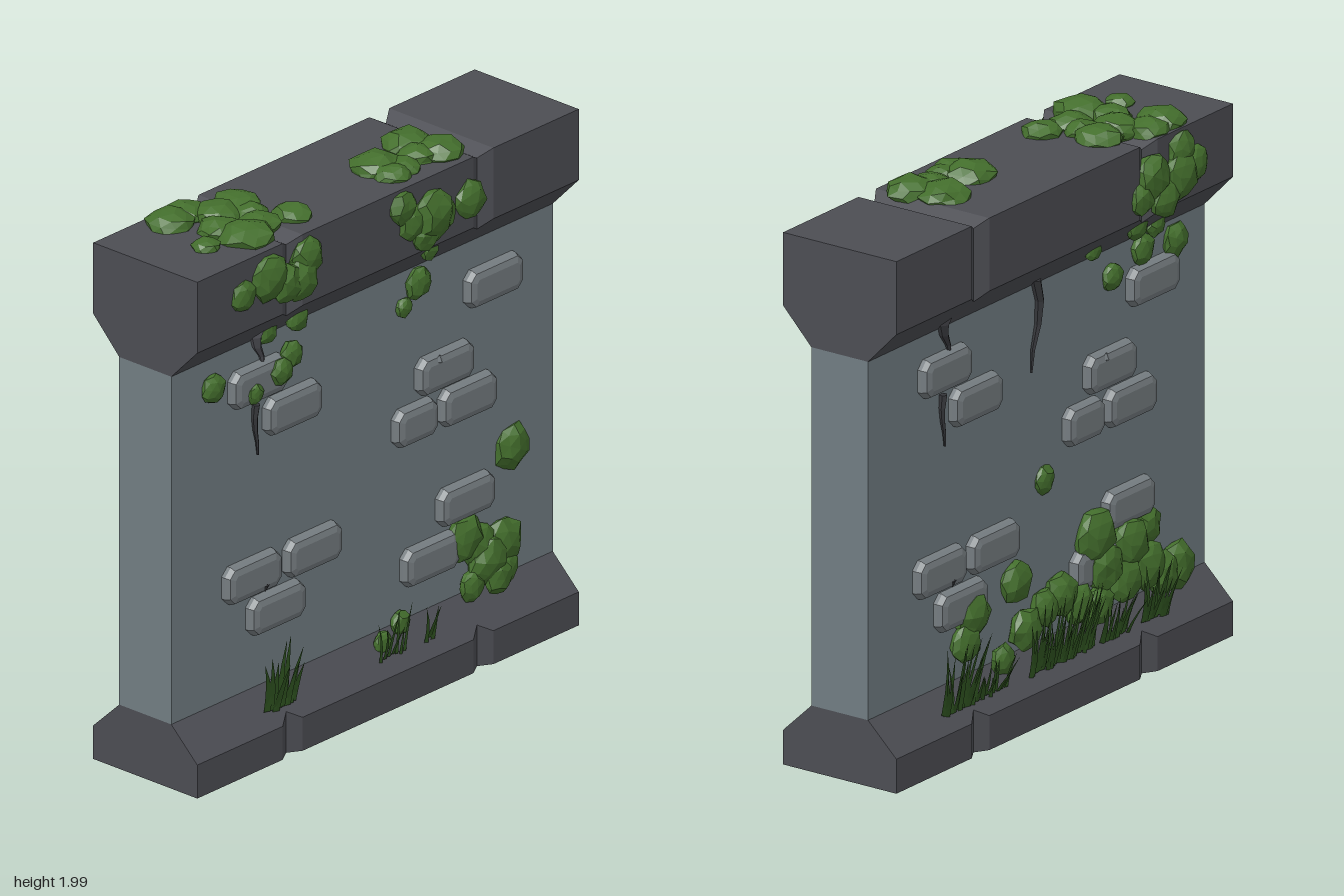
import * as THREE from 'three';
import { mergeGeometries } from 'three/addons/utils/BufferGeometryUtils.js';

const mat = (name, color, extra = {}) => {
  const m = new THREE.MeshStandardMaterial({ color, flatShading: true, ...extra });
  m.name = name;
  return m;
};

let seed = 7;
const rnd = () => (seed = (seed * 16807) % 2147483647) / 2147483647;

// Sweep a (z, y) profile along x; every groove station uses the inset profile
function sweep(profile, inset, skipEdge) {
  const xs = [-0.96, -0.53, -0.48, -0.43, 0.43, 0.48, 0.53, 0.96];
  const at = (s, i) => {
    const [z, y] = (s === 2 || s === 5 ? inset : profile)[i];
    return [xs[s], y, z];
  };
  const pos = [];
  const n = profile.length;
  for (let s = 0; s < xs.length - 1; s++) {
    for (let i = 0; i < n - 1; i++) {
      if (i === skipEdge) continue;
      const a = at(s, i), b = at(s + 1, i), c = at(s + 1, i + 1), d = at(s, i + 1);
      pos.push(...a, ...b, ...c, ...a, ...c, ...d);
    }
  }
  for (let i = 1; i < n - 1; i++) {
    pos.push(...at(0, 0), ...at(0, i), ...at(0, i + 1));
    pos.push(...at(7, 0), ...at(7, i + 1), ...at(7, i));
  }
  const g = new THREE.BufferGeometry();
  g.setAttribute('position', new THREE.Float32BufferAttribute(pos, 3));
  g.computeVertexNormals();
  return g;
}

// Chamfered brick that stands proud of the wall
function brick(x, y, w = 0.275, h = 0.14) {
  const b = 0.03, c = 0.012, hw = w / 2 - b, hh = h / 2 - b;
  const s = new THREE.Shape([
    [-hw, -hh + c], [-hw + c, -hh], [hw - c, -hh], [hw, -hh + c],
    [hw, hh - c], [hw - c, hh], [-hw + c, hh], [-hw, hh - c],
  ].map(([px, py]) => new THREE.Vector2(px, py)));
  const g = new THREE.ExtrudeGeometry(s, { depth: 0.03, bevelSize: b, bevelThickness: 0.025, bevelSegments: 2 });
  return g.translate(x, y, 0.105);
}

// Lumpy faceted moss cushion, flattened along one axis
function cushion(x, y, z, r, flat, axis) {
  const g = new THREE.IcosahedronGeometry(r, 1);
  const p = g.attributes.position;
  const k = rnd() * 10;
  const v = new THREE.Vector3();
  for (let i = 0; i < p.count; i++) {
    v.fromBufferAttribute(p, i);
    const d = v.clone().divideScalar(r);
    v.multiplyScalar(1.03 + 0.13 * Math.sin(d.x * 4 + k) * Math.cos(d.y * 5 - k + d.z * 3));
    p.setXYZ(i, v.x, v.y, v.z);
  }
  g.rotateZ(rnd() * 6);
  g.scale(1, axis === 'y' ? flat : 1, axis === 'z' ? flat : 1).translate(x, y, z);
  g.computeVertexNormals();
  return g;
}

// Pointed grass blade curving outwards
function blade(x, y, z, h, w, lean, out) {
  const g = new THREE.PlaneGeometry(1, 1, 1, 3);
  const p = g.attributes.position;
  for (let i = 0; i < p.count; i++) {
    const t = p.getY(i) + 0.5;
    p.setXYZ(i, x + p.getX(i) * w * (1 - t * t * 0.97) + lean * t * t, y + h * t, z + out * t + (p.getX(i) > 0 ? w * 0.3 * (1 - t) : 0));
  }
  g.computeVertexNormals();
  return g;
}

// Tuft of blades between two x positions on the base slope
function tuft(x0, x1, count, height, w) {
  const list = [];
  for (let i = 0; i < count; i++) {
    const t = (i + 0.5) / count;
    list.push(blade(x0 + (x1 - x0) * t, 0.16 + rnd() * 0.02, 0.195, height * (0.55 + 0.45 * rnd()), w,
      (t - 0.5) * 0.07 + (rnd() - 0.5) * 0.05, 0.02 + rnd() * 0.04));
  }
  return list;
}

// Crooked sliver tapering downwards
function sliver(x, top, bottom, r, bend) {
  const g = new THREE.CylinderGeometry(r, 0.004, top - bottom, 5, 4);
  const p = g.attributes.position;
  for (let i = 0; i < p.count; i++) {
    const t = 0.5 - p.getY(i) / (top - bottom);
    p.setX(i, p.getX(i) + bend * Math.sin(t * 5));
  }
  g.translate(x, (top + bottom) / 2, 0.132);
  g.computeVertexNormals();
  return g;
}

export function createModel() {
  const model = new THREE.Group();
  const trim = mat('dark stone', 0x4c4d53, { side: THREE.DoubleSide });
  const wallStone = mat('wall stone', 0x717d82);
  const brickStone = mat('brick stone', 0x757c80);
  const crackDark = mat('crack', 0x35363a);
  const mossGreen = mat('moss green', 0x446f2d);
  const grassGreen = mat('grass green', 0x2f5420, { side: THREE.DoubleSide });
  const add = (name, geo, material, parent = model) => {
    const m = new THREE.Mesh(geo, material);
    m.name = name;
    parent.add(m);
    return m;
  };

  // Hollow base, wall panel and cap
  const mirror = (half) => [...half, ...half.map(([z, y]) => [-z, y]).reverse()];
  add('base', sweep(mirror([[0.24, 0], [0.24, 0.125], [0.12, 0.24]]),
    mirror([[0.21, 0], [0.21, 0.154], [0.12, 0.24]]), 2), trim);
  add('wall', new THREE.BoxGeometry(1.92, 1.3, 0.24).translate(0, 0.89, 0), wallStone);
  add('cap', sweep(mirror([[0.12, 1.54], [0.24, 1.665], [0.24, 1.93]]),
    mirror([[0.12, 1.54], [0.21, 1.634], [0.21, 1.9]]), -1), trim);

  const front = new THREE.Group();
  front.name = 'frontDetails';
  const back = new THREE.Group();
  back.name = 'backDetails';
  back.rotation.y = Math.PI;
  model.add(front, back);

  // Same brick pattern on both faces
  const bricks = mergeGeometries([
    [-0.54, 1.385], [-0.365, 1.23], [0.645, 1.365], [0.4, 1.12], [0.25, 0.965, 0.21], [0.515, 0.965],
    [-0.57, 0.665], [-0.265, 0.665], [-0.45, 0.51], [0.505, 0.595], [0.325, 0.43],
  ].map((b) => brick(...b)));
  const chip = new THREE.OctahedronGeometry(0.03).scale(1, 0.8, 0.4);
  for (const side of [front, back]) {
    add('bricks', bricks, brickStone, side);
    add('brickChip', chip.clone().translate(0.355, 1.165, 0.152), brickStone, side);
    add('brickNick', chip.clone().translate(-0.52, 0.622, 0.152), crackDark, side);
    add('lowerCrack', sliver(-0.545, 1.3, 1.11, 0.015, -0.008), crackDark, side);
    add('upperCrack', sliver(-0.53, 1.6, 1.43, 0.032, -0.02), side === front ? trim : crackDark, side);
  }
  add('middleCrack', sliver(-0.02, 1.56, 1.23, 0.022, 0.025), crackDark, back);

  // Moss on the faces: x, y, z, radius
  const faceMoss = (list) => mergeGeometries(list.map(([x, y, z, r]) => cushion(x, y, z, r, 0.55, 'z')));
  add('upperMoss', faceMoss([
    [-0.73, 1.8, 0.24, 0.055], [-0.6, 1.83, 0.24, 0.085], [-0.52, 1.78, 0.25, 0.07], [-0.41, 1.84, 0.24, 0.07],
    [-0.45, 1.77, 0.25, 0.075], [0.07, 1.86, 0.24, 0.06], [0.12, 1.79, 0.24, 0.065], [0.21, 1.79, 0.25, 0.09],
    [0.18, 1.73, 0.25, 0.06], [0.27, 1.77, 0.24, 0.06], [0.41, 1.78, 0.24, 0.07], [-0.5, 1.56, 0.14, 0.045],
    [-0.37, 1.575, 0.16, 0.05], [0.24, 1.64, 0.21, 0.04],
  ]), mossGreen, front);
  add('wallMoss', faceMoss([
    [-0.76, 1.43, 0.13, 0.053], [-0.58, 1.36, 0.16, 0.035], [-0.45, 1.4, 0.16, 0.05], [-0.39, 1.44, 0.15, 0.05],
    [0.27, 1.48, 0.13, 0.057], [0.2, 1.41, 0.13, 0.036], [0.75, 0.705, 0.12, 0.08],
  ]), mossGreen, front);
  add('lowerMoss', faceMoss([
    [0.5, 0.45, 0.13, 0.085], [0.57, 0.4, 0.13, 0.075], [0.69, 0.37, 0.13, 0.09], [0.6, 0.34, 0.15, 0.085],
    [0.52, 0.27, 0.15, 0.055], [0.63, 0.27, 0.17, 0.06], [0.68, 0.28, 0.15, 0.06], [0.06, 0.215, 0.16, 0.04],
    [0.17, 0.245, 0.14, 0.043],
  ]), mossGreen, front);
  add('upperMoss', faceMoss([
    [0.5, 1.8, 0.24, 0.08], [0.64, 1.77, 0.25, 0.085], [0.73, 1.78, 0.24, 0.07], [0.56, 1.71, 0.25, 0.07],
    [0.44, 1.74, 0.24, 0.06], [0.66, 1.85, 0.24, 0.07], [0.49, 1.62, 0.18, 0.055], [0.27, 1.59, 0.16, 0.04],
    [0.42, 1.44, 0.13, 0.05], [0.59, 1.49, 0.13, 0.055], [0.78, 1.47, 0.13, 0.06], [0.64, 1.57, 0.15, 0.045],
  ]), mossGreen, back);
  add('lowerMoss', faceMoss([
    [0.04, 0.815, 0.12, 0.05], [-0.39, 0.46, 0.14, 0.08], [-0.43, 0.37, 0.14, 0.07], [-0.13, 0.5, 0.13, 0.075],
    [-0.1, 0.32, 0.15, 0.075], [-0.23, 0.25, 0.15, 0.055], [0.02, 0.36, 0.14, 0.07], [0.11, 0.38, 0.14, 0.08],
    [0.2, 0.32, 0.15, 0.07], [0.31, 0.54, 0.14, 0.095], [0.35, 0.41, 0.15, 0.085], [0.49, 0.46, 0.15, 0.09],
    [0.61, 0.48, 0.13, 0.07], [0.45, 0.34, 0.16, 0.08], [0.59, 0.35, 0.15, 0.085], [0.77, 0.29, 0.14, 0.085],
    [0.68, 0.29, 0.15, 0.075], [0.3, 0.29, 0.16, 0.07],
  ]), mossGreen, back);

  // Moss on top of the cap: x, z, radius
  add('topMoss', mergeGeometries([
    [-0.73, 0.07, 0.05], [-0.67, -0.15, 0.085], [-0.58, -0.16, 0.075], [-0.52, -0.07, 0.085], [-0.41, -0.08, 0.085],
    [-0.6, 0.01, 0.075], [-0.58, 0.12, 0.095], [-0.47, 0.08, 0.07], [-0.34, 0.11, 0.07], [-0.43, 0, 0.065],
    [0.14, 0.06, 0.09], [0.13, 0.14, 0.065], [0.35, 0.01, 0.09], [0.3, 0.1, 0.07], [0.38, 0.13, 0.085], [0.2, 0.13, 0.06],
  ].map(([x, z, r]) => cushion(x, 1.935, z, r, 0.55, 'y'))), mossGreen);

  // Grass along the foot of both faces
  add('grass', mergeGeometries([
    ...tuft(-0.57, -0.43, 10, 0.27, 0.028), ...tuft(0, 0.14, 7, 0.19, 0.012), ...tuft(0.23, 0.28, 3, 0.18, 0.016),
  ]), grassGreen, front);
  add('grass', mergeGeometries([
    ...tuft(-0.64, -0.45, 16, 0.27, 0.018), ...tuft(-0.45, -0.27, 12, 0.14, 0.016), ...tuft(-0.14, 0.22, 38, 0.26, 0.018),
    ...tuft(0.26, 0.42, 14, 0.18, 0.016), ...tuft(0.5, 0.64, 12, 0.22, 0.02),
  ]), grassGreen, back);

  return model;
}
